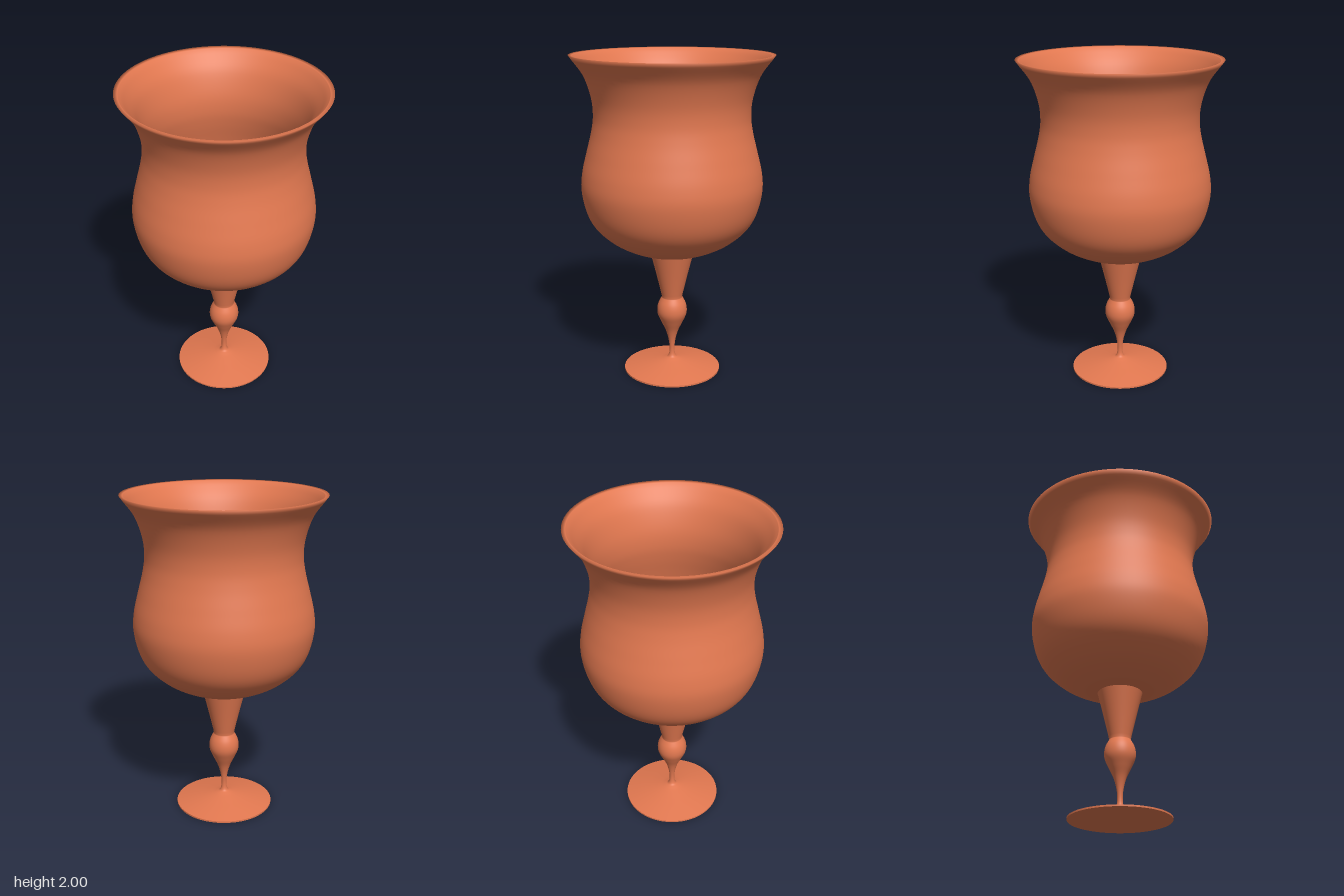
import * as THREE from 'three';

// Smooth curve through a few [radius, height] points
function smooth(points, steps) {
  const curve = new THREE.SplineCurve(points.map(([r, y]) => new THREE.Vector2(r, y)));
  return curve.getPoints(steps).map((p) => new THREE.Vector2(Math.max(p.x, 0), p.y));
}

export function createModel() {
  const group = new THREE.Group();
  group.name = 'goblet';
  const clay = new THREE.MeshStandardMaterial({ color: 0xe27850 });
  clay.name = 'terracotta';

  const addTurned = (name, profile) => {
    const mesh = new THREE.Mesh(new THREE.LatheGeometry(profile, 96), clay);
    mesh.name = name;
    group.add(mesh);
  };

  // Foot: flat underside, thin edge, and a shallow cone sweeping into the stem
  addTurned('footUnderside', [new THREE.Vector2(0, 0), new THREE.Vector2(0.305, 0)]);
  addTurned('footEdge', [new THREE.Vector2(0.305, 0), new THREE.Vector2(0.305, 0.01)]);

  // Foot top and baluster stem, up to the underside of the bowl
  addTurned('stem', [
    ...smooth([[0.305, 0.01], [0.21, 0.031], [0.11, 0.052], [0.05, 0.066], [0.024, 0.08],
      [0.016, 0.125], [0.022, 0.19], [0.04, 0.255], [0.068, 0.315], [0.09, 0.365],
      [0.094, 0.405], [0.085, 0.445], [0.064, 0.485]], 72),
    ...smooth([[0.068, 0.505], [0.1, 0.64], [0.136, 0.783]], 6),
  ]);

  // Bowl: outer wall, rounded lip, then the inner wall down to the centre
  const outer = smooth([[0.136, 0.783], [0.21, 0.797], [0.3, 0.832], [0.39, 0.885],
    [0.475, 0.965], [0.525, 1.06], [0.552, 1.19], [0.545, 1.3], [0.517, 1.42],
    [0.487, 1.54], [0.473, 1.64], [0.482, 1.75], [0.525, 1.88], [0.592, 1.975]], 72);
  const inner = smooth([[0.588, 1.998], [0.555, 1.965], [0.497, 1.88], [0.453, 1.75],
    [0.443, 1.64], [0.457, 1.54], [0.487, 1.42], [0.515, 1.3], [0.522, 1.19],
    [0.497, 1.075], [0.45, 0.985], [0.372, 0.913], [0.285, 0.862], [0.2, 0.828],
    [0.1, 0.815], [0, 0.812]], 72);
  addTurned('bowl', [...outer, new THREE.Vector2(0.61, 2), ...inner]);

  return group;
}
